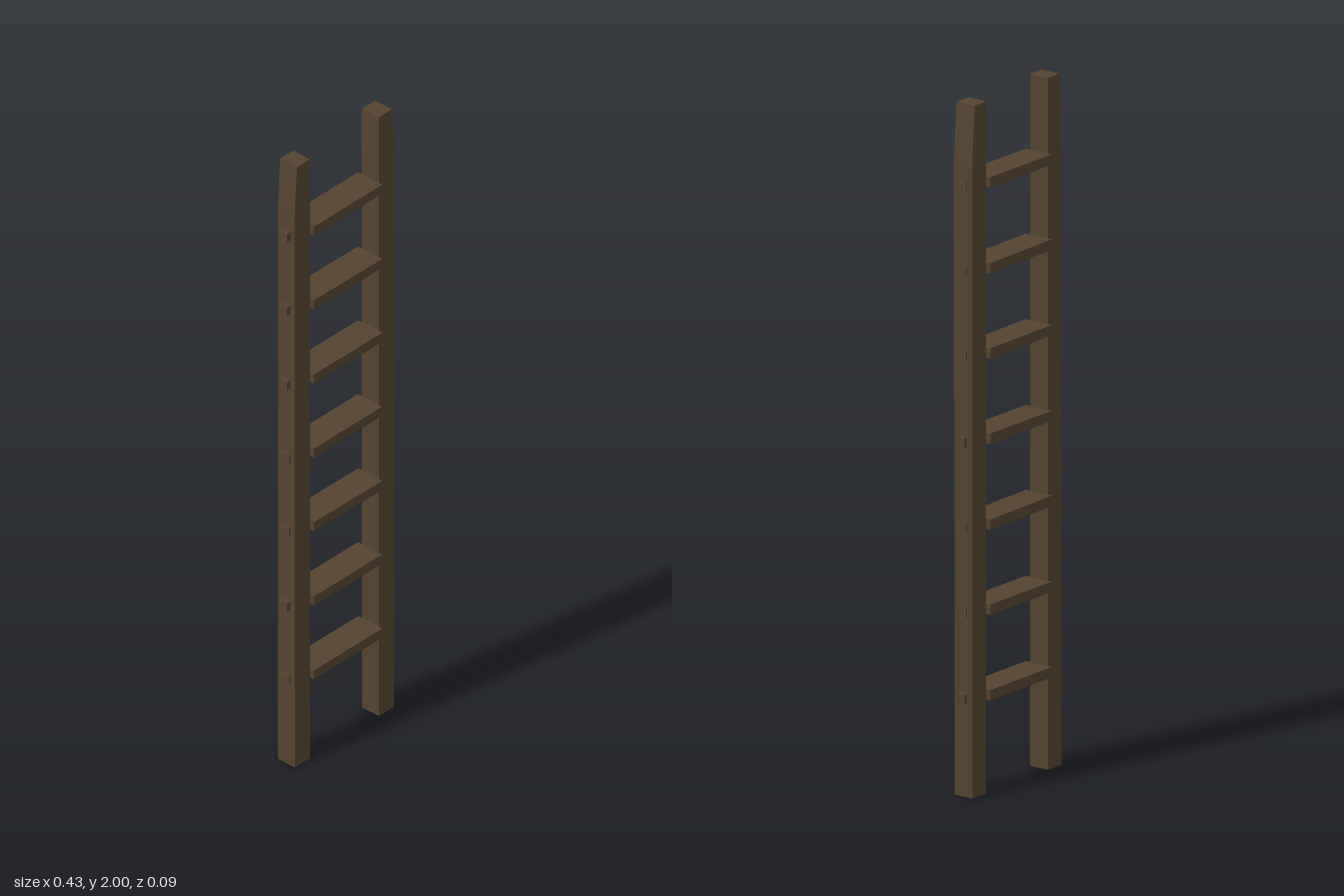
import * as THREE from 'three';

const wood = new THREE.MeshStandardMaterial({ color: 0x54432f, flatShading: true });

function box(name, x0, x1, y0, y1, z0, z1) {
  const mesh = new THREE.Mesh(new THREE.BoxGeometry(x1 - x0, y1 - y0, z1 - z0), wood);
  mesh.position.set((x0 + x1) / 2, (y0 + y1) / 2, (z0 + z1) / 2);
  mesh.name = name;
  return mesh;
}

// Square rail whose outer face tapers in near the top
function rail(name, side) {
  const shape = new THREE.Shape([
    [0.141, 0], [0.203, 0], [0.204, 1.84], [0.194, 2], [0.141, 2],
  ].map(([x, y]) => new THREE.Vector2(side * x, y)));
  const geometry = new THREE.ExtrudeGeometry(shape, { depth: 0.063, bevelEnabled: false });
  geometry.translate(0, 0, -0.033);
  const mesh = new THREE.Mesh(geometry, wood);
  mesh.name = name;
  return mesh;
}

export function createModel() {
  const ladder = new THREE.Group();
  ladder.name = 'ladder';
  ladder.add(rail('leftRail', 1), rail('rightRail', -1));

  // Outer ends of the tenons that poke through the rails, bottom to top
  const ends = [
    [-0.21, 0.215], [-0.217, 0.207], [-0.217, 0.207], [-0.21, 0.216],
    [-0.217, 0.207], [-0.217, 0.207], [-0.217, 0.207],
  ];
  ends[2] = [-0.21, 0.207];

  ends.forEach(([left, right], i) => {
    const y = 0.285 + i * 0.247;
    const rung = new THREE.Group();
    rung.name = `rung${i + 1}`;
    // Wide tread between the rails, with a narrow tenon running through them
    rung.add(
      box('tread', -0.141, 0.139, y - 0.015, y + 0.015, -0.046, 0.045),
      box('tenon', left, right, y - 0.014, y + 0.014, -0.014, 0.014),
    );
    // Slight hand-cut irregularity
    rung.children[0].rotation.z = 0.006 * Math.sin(i * 2.4);
    ladder.add(rung);
  });
  return ladder;
}
